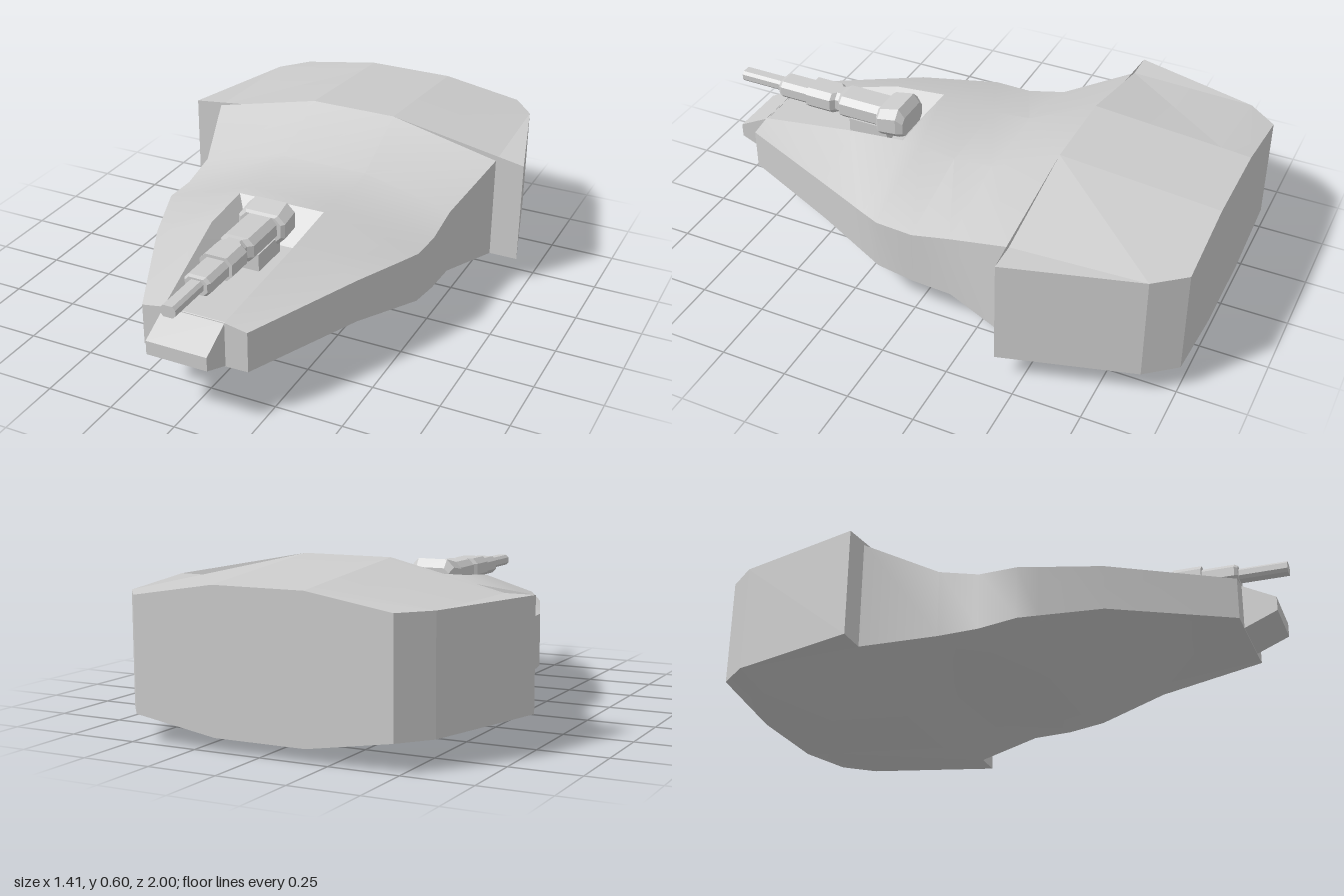
import * as THREE from 'three';
import { toCreasedNormals } from 'three/addons/utils/BufferGeometryUtils.js';

// Joins cross-sections (clockwise seen from +z, ordered back to front) into a surface.
function loft(rings, { closed = true, back = true, front = true, skip = () => false, crease = 0.1 } = {}) {
  const n = rings[0].length, pos = [];
  const tri = (...pts) => pts.forEach(p => pos.push(...p));
  for (let r = 0; r < rings.length - 1; r++) {
    const A = rings[r], B = rings[r + 1];
    for (let i = 0; i < (closed ? n : n - 1); i++) {
      if (skip(r, i)) continue;
      const j = (i + 1) % n;
      tri(A[i], B[i], A[j]);
      tri(A[j], B[i], B[j]);
    }
  }
  const last = rings[rings.length - 1];
  for (let k = 1; k < n - 1; k++) {
    if (back) tri(rings[0][0], rings[0][k], rings[0][k + 1]);
    if (front) tri(last[0], last[k + 1], last[k]);
  }
  const g = new THREE.BufferGeometry();
  g.setAttribute('position', new THREE.Float32BufferAttribute(pos, 3));
  return toCreasedNormals(g, crease);
}

// Mirrors the +x half of a section, listed from top to bottom.
const mirror = half => [...half, ...half.slice().reverse().map(([x, y, z]) => [-x, y, z])];

// Rectangle with cut corners: half width, bottom, top, at depth z.
function cutRect(z, w, y0, y1) {
  const c = Math.min(w, (y1 - y0) / 2) * 0.5;
  return mirror([[w - c, y1, z], [w, y1 - c, z], [w, y0 + c, z], [w - c, y0, z]]);
}

export function createModel() {
  const model = new THREE.Group();
  const material = new THREE.MeshStandardMaterial({ color: 0xcccccc, side: THREE.DoubleSide });
  const add = (name, geometry, parent = model) => {
    const mesh = new THREE.Mesh(geometry, material);
    mesh.name = name;
    parent.add(mesh);
    return mesh;
  };

  // Rear block: z, outer width, shoulder width, crown top, crown bottom
  const block = [
    [-1, 0.48, 0.48, 0.55, 0.05],
    [-0.89, 0.57, 0.57, 0.56, 0.04],
    [-0.41, 0.705, 0.595, 0.6, 0.003],
  ].map(([z, w, m, top, bot]) => mirror([
    [0.17, top, z], [m, 0.5, z], [w, 0.5, z], [w, 0.1, z], [m, 0.1, z], [0.17, bot, z],
  ]));
  add('rearBlock', loft(block));

  // Forward hull: z, half width, crown half width, top, upper edge, lower edge, bottom
  const hull = [
    [-0.41, 0.595, 0.17, 0.6, 0.5, 0.1, 0.003],
    [-0.15, 0.515, 0.17, 0.47, 0.385, 0.135, 0.07],
    [0, 0.513, 0.17, 0.455, 0.35, 0.14, 0.07],
    [0.14, 0.51, 0.17, 0.47, 0.355, 0.16, 0.07],
    [0.21, 0.483, 0.17, 0.475, 0.357, 0.17, 0.085],
    [0.42, 0.4, 0.17, 0.455, 0.365, 0.2, 0.13],
    [0.845, 0.2, 0.115, 0.355, 0.34, 0.187, 0.185],
  ].map(([z, w, c, top, up, low, bot]) => mirror([[c, top, z], [w, up, z], [w, low, z], [c, bot, z]]));
  // The crown strip is left open over the gun recess
  add('hull', loft(hull, { back: false, skip: (r, i) => i === 7 && r >= 4, crease: 0.42 }));

  // Gun recess: rim z, rim half width, rim y, floor z, floor half width
  const recess = [
    [0.21, 0.17, 0.475, 0.3, 0.09],
    [0.42, 0.17, 0.455, 0.42, 0.1],
    [0.845, 0.115, 0.355, 0.845, 0.114],
  ].map(([z, c, y, fz, f]) => [[-c, y, z], [-f, 0.354, fz], [f, 0.354, fz], [c, y, z]]);
  add('gunRecess', loft(recess, { closed: false, front: false }));

  // Wedge nose
  const nose = [[0.84, 0.355, 0.185], [0.965, 0.29, 0.238]]
    .map(([z, top, bot]) => mirror([[0.115, top, z], [0.115, bot, z]]));
  add('nose', loft(nose));

  // Gun built from cut-corner sections
  const gun = new THREE.Group();
  gun.name = 'gun';
  model.add(gun);
  const gunPart = (name, sections) => add(name, loft(sections.map(s => cutRect(...s))), gun);
  gunPart('gunBreech', [
    [0.26, 0.08, 0.41, 0.49], [0.285, 0.092, 0.4, 0.523],
    [0.36, 0.092, 0.395, 0.507], [0.372, 0.08, 0.405, 0.5],
  ]);
  gunPart('gunReceiver', [
    [0.37, 0.065, 0.41, 0.5], [0.54, 0.065, 0.41, 0.5], [0.555, 0.046, 0.412, 0.498],
    [0.57, 0.046, 0.412, 0.498], [0.585, 0.062, 0.412, 0.498], [0.69, 0.062, 0.412, 0.498],
  ]);
  gunPart('barrelSleeve', [[0.68, 0.05, 0.417, 0.487], [0.81, 0.05, 0.417, 0.487], [0.822, 0.042, 0.422, 0.482]]);
  gunPart('barrel', [[0.81, 0.028, 0.432, 0.475], [1, 0.028, 0.432, 0.475]]);

  // Mount joining the gun to the recess floor
  const mount = add('gunMount', new THREE.BoxGeometry(0.12, 0.07, 0.16), gun);
  mount.position.set(0, 0.385, 0.42);

  return model;
}
